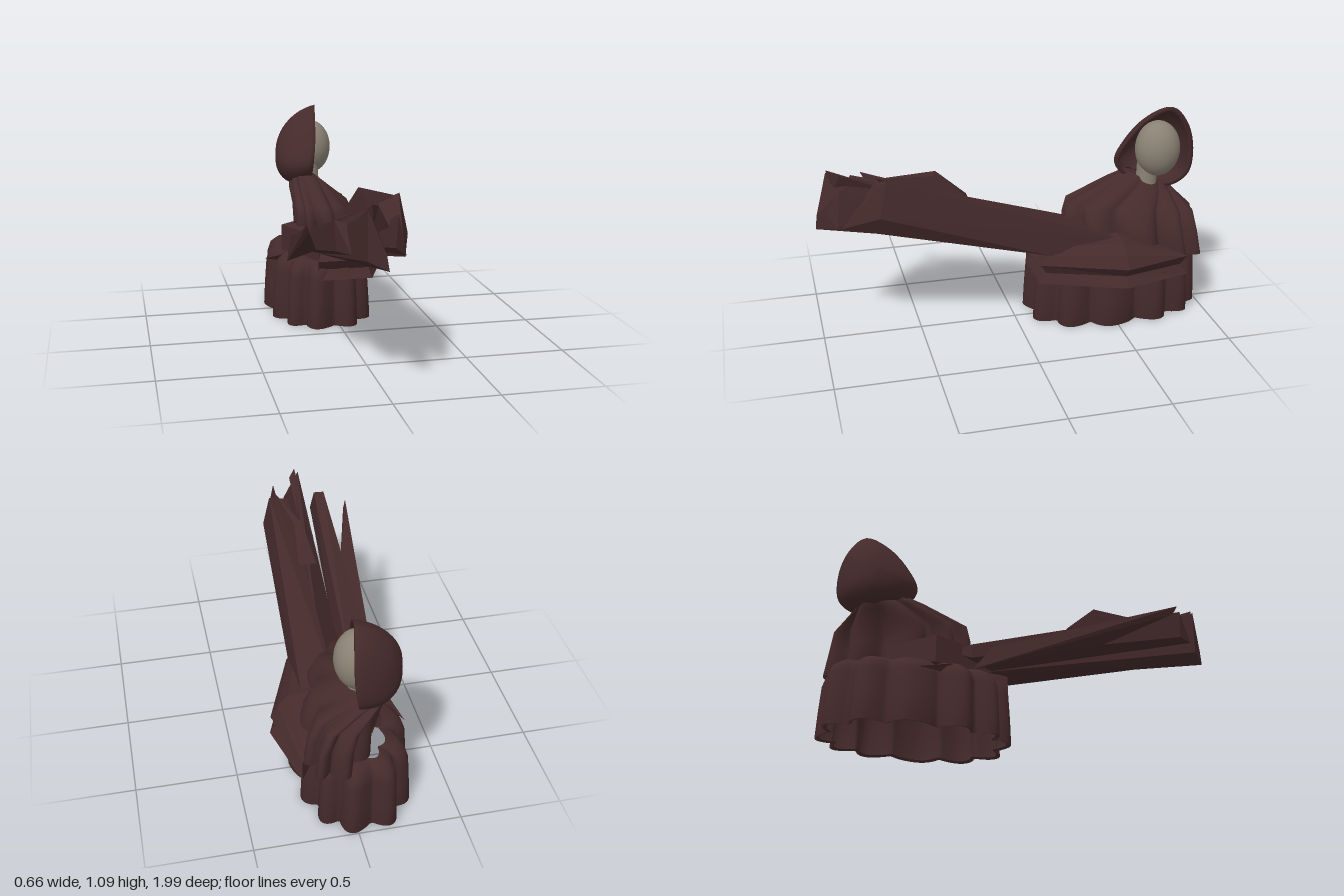
import * as THREE from 'three';
import { ConvexGeometry } from 'three/addons/geometries/ConvexGeometry.js';

const cloth = new THREE.MeshStandardMaterial({ color: 0x452a2b, side: THREE.DoubleSide });
const facetedCloth = cloth.clone();
facetedCloth.flatShading = true;
const skin = new THREE.MeshStandardMaterial({ color: 0x8a8274 });

const V = (x, y, z) => new THREE.Vector3(x, y, z);

function add(parent, name, geometry, material) {
  const mesh = new THREE.Mesh(geometry, material);
  mesh.name = name;
  parent.add(mesh);
  return mesh;
}

// Skin a list of closed rings holding equal numbers of points
function loft(rings, caps = false) {
  const n = rings[0].length, index = [];
  const points = rings.flat();
  for (let r = 0; r < rings.length - 1; r++) {
    for (let i = 0; i < n; i++) {
      const a = r * n + i, b = r * n + (i + 1) % n;
      index.push(a, a + n, b, b, a + n, b + n);
    }
  }
  if (caps) {
    const last = (rings.length - 1) * n;
    for (let i = 1; i < n - 1; i++) index.push(0, i, i + 1, last, last + i + 1, last + i);
  }
  const g = new THREE.BufferGeometry().setFromPoints(points);
  g.setIndex(index);
  g.computeVertexNormals();
  return g;
}

// Fluted, slightly squared oval ring:
// [y, centre x, centre z, radius x, radius z, tilt, flute depth, sideways skew]
const squared = v => Math.sign(v) * Math.pow(Math.abs(v), 0.84);
function flutedRing([y, cx, cz, rx, rz, tilt, depth, skew], folds, phase) {
  const ring = [];
  const n = folds * 12;
  for (let i = 0; i < n; i++) {
    const a = (i / n) * Math.PI * 2;
    const c = squared(Math.cos(a)), s = squared(Math.sin(a));
    // rounded lobes meeting in tight creases, with uneven spacing
    const wave = Math.abs(Math.sin((folds * a + 0.9 * Math.sin(2 * a + phase)) / 2 + phase));
    const k = depth * (wave - 1);
    ring.push(V(cx + (rx + k) * c - skew * s, y + tilt * s, cz + (rz + k) * s));
  }
  return ring;
}
const fluted = (rows, folds, phase) => loft(rows.map(row => flutedRing(row, folds, phase)));

// Folded band swept along corners [x, z, crest], pulled inwards towards a centre
function band(corners, centre, profile) {
  return loft(corners.map(([x, z, crest]) => {
    const d = new THREE.Vector2(centre[0] - x, centre[1] - z).normalize();
    return profile.map(([inset, y]) =>
      V(x + d.x * inset, y > 0.37 ? 0.37 + (y - 0.37) * crest : y, z + d.y * inset));
  }), true);
}

export function createModel() {
  const model = new THREE.Group();
  model.name = 'hoodedFigure';

  // Pleated skirt with a thin hem and rounded shoulder
  add(model, 'skirt', fluted([
    [0.015, -0.05, -0.535, 0.262, 0.447, 0, 0.06, 0],
    [0.010, -0.05, -0.535, 0.285, 0.468, 0, 0.06, 0],
    [0.14, -0.05, -0.535, 0.278, 0.462, 0, 0.06, 0],
    [0.27, -0.05, -0.535, 0.268, 0.453, 0, 0.055, 0],
    [0.32, -0.05, -0.535, 0.25, 0.435, 0, 0.05, 0],
    [0.35, -0.05, -0.54, 0.21, 0.39, 0, 0.04, 0],
    [0.36, -0.04, -0.56, 0.16, 0.33, 0, 0.03, 0],
  ], 12, 0.6), cloth);

  // Shoulder cape, spreading from the neck
  add(model, 'cape', fluted([
    [0.70, -0.09, -0.74, 0.07, 0.12, 0.05, 0.005, 0],
    [0.665, -0.06, -0.70, 0.11, 0.19, 0.045, 0.02, 0.02],
    [0.59, -0.01, -0.615, 0.155, 0.33, 0.02, 0.045, 0.06],
    [0.50, 0.015, -0.61, 0.175, 0.35, 0.03, 0.06, 0.07],
    [0.385, 0.03, -0.62, 0.185, 0.36, 0.04, 0.07, 0.07],
    [0.39, 0.03, -0.62, 0.16, 0.335, 0.04, 0.065, 0.07],
  ], 10, 1.3), cloth);

  // Hood: egg-shaped opening facing +x and turned a little forward, with an inner lining
  const rim = new THREE.CatmullRomCurve3([
    [1.10, -0.83], [1.05, -0.71], [0.93, -0.60], [0.81, -0.55], [0.72, -0.61],
    [0.67, -0.73], [0.665, -0.85], [0.73, -0.93], [0.86, -0.945], [1.01, -0.91],
  ].map(([y, z]) => V(0.005 - 0.17 * (z + 0.83) - 0.12 * Math.max(0, 0.9 - y), y, z)), true)
    .getPoints(48).slice(0, 48);
  const hoodRing = (t, scale, depth) => {
    const s = Math.pow(Math.cos(t), 0.88), cy = 0.87 - 0.05 * Math.sin(t), cz = -0.765;
    const back = Math.sin(t);
    return rim.map(p => V(p.x * (1 - back) - depth * back,
      cy + (p.y - 0.87) * s * scale, cz + (p.z - cz) * s * scale));
  };
  const hoodRings = [];
  for (let i = 12; i >= 0; i--) hoodRings.push(hoodRing((i / 12) * 1.565, 1, 0.232));
  for (let i = 0; i <= 12; i++) hoodRings.push(hoodRing((i / 12) * 1.565, 0.9, 0.21));
  add(model, 'hood', loft(hoodRings), cloth);

  // Blank head and neck
  const head = add(model, 'head', new THREE.SphereGeometry(1, 32, 24), skin);
  head.scale.set(0.11, 0.147, 0.117);
  head.position.set(-0.032, 0.873, -0.768);
  const neck = add(model, 'neck', new THREE.CylinderGeometry(0.05, 0.055, 0.16, 20), skin);
  neck.position.set(-0.05, 0.74, -0.72);

  // Creased sleeve band wrapped around the front and left side
  add(model, 'sleeve', band(
    [[-0.12, -0.09, 0.2], [0.17, -0.09, 0.75], [0.33, -0.51, 1.05], [0.24, -0.86, 0.3]], [0.02, -0.5],
    [[0, 0.27], [0.04, 0.32], [0.005, 0.37], [0.04, 0.43], [0.09, 0.48], [0.2, 0.49], [0.2, 0.27]],
  ), facetedCloth);

  // Opposite sleeve, angled over the root of the bundle and along the right side
  add(model, 'cuff', band(
    [[0.17, -0.39, 1], [-0.1, -0.17, 1], [-0.25, -0.48, 1], [-0.13, -0.7, 0.7]], [0, -0.55],
    [[0, 0.35], [0, 0.49], [0.06, 0.5], [0.06, 0.33]],
  ), facetedCloth);

  // Bundle of long jagged shards rising towards +z
  const shards = new THREE.Group();
  shards.name = 'shardBundle';
  model.add(shards);
  const shardCorners = {
    rightCore: [[-0.1, 0.38, -0.25], [0.05, 0.48, -0.5], [0, 0.4, -0.14], [-0.1, 0.64, 0.93],
      [-0.1, 0.87, 0.93], [-0.06, 0.84, 0.8], [-0.02, 0.61, 1], [-0.03, 0.68, 0.99]],
    rightOuter: [[0, 0.4, -0.13], [0.17, 0.42, -0.15], [0.17, 0.48, -0.5], [0, 0.48, -0.5],
      [0.1, 0.85, 0.7], [0.14, 0.7, 0.7], [0.11, 0.88, 0.66], [0.08, 0.64, 0.88], [0, 0.84, 0.7]],
    rightPeak: [[-0.06, 0.71, 0.24], [0.03, 0.71, 0.24], [-0.02, 0.86, 0.4], [0.02, 0.85, 0.42],
      [0.07, 0.88, 0.7], [0.02, 0.74, 0.6]],
    rightTip: [[0, 0.5, 0.1], [0.07, 0.6, 0.2], [0.08, 0.65, 0.9], [0.05, 0.83, 0.88], [0.02, 0.7, 0.95]],
    upperSpike: [[-0.1, 0.7, 0.5], [-0.04, 0.72, 0.5], [-0.08, 0.89, 0.93], [-0.04, 0.87, 0.87], [-0.07, 0.78, 0.9]],
    leftCore: [[-0.23, 0.4, -0.3], [-0.1, 0.4, -0.17], [-0.23, 0.47, -0.3], [-0.1, 0.48, -0.4],
      [-0.1, 0.47, 0.03], [-0.22, 0.8, 0.8], [-0.17, 0.79, 0.82], [-0.16, 0.66, 0.88], [-0.21, 0.66, 0.8]],
    leftSpike: [[-0.25, 0.33, -0.3], [-0.25, 0.46, -0.2], [-0.2, 0.4, -0.2], [-0.22, 0.56, 0.38],
      [-0.33, 0.77, 0.74], [-0.315, 0.73, 0.72]],
    tailSpike: [[-0.33, 0.28, -0.57], [-0.24, 0.3, -0.42], [-0.22, 0.35, -0.45], [-0.27, 0.34, -0.4]],
  };
  for (const [name, corners] of Object.entries(shardCorners)) {
    add(shards, name, new ConvexGeometry(corners.map(c => V(...c))), facetedCloth);
  }

  return model;
}
